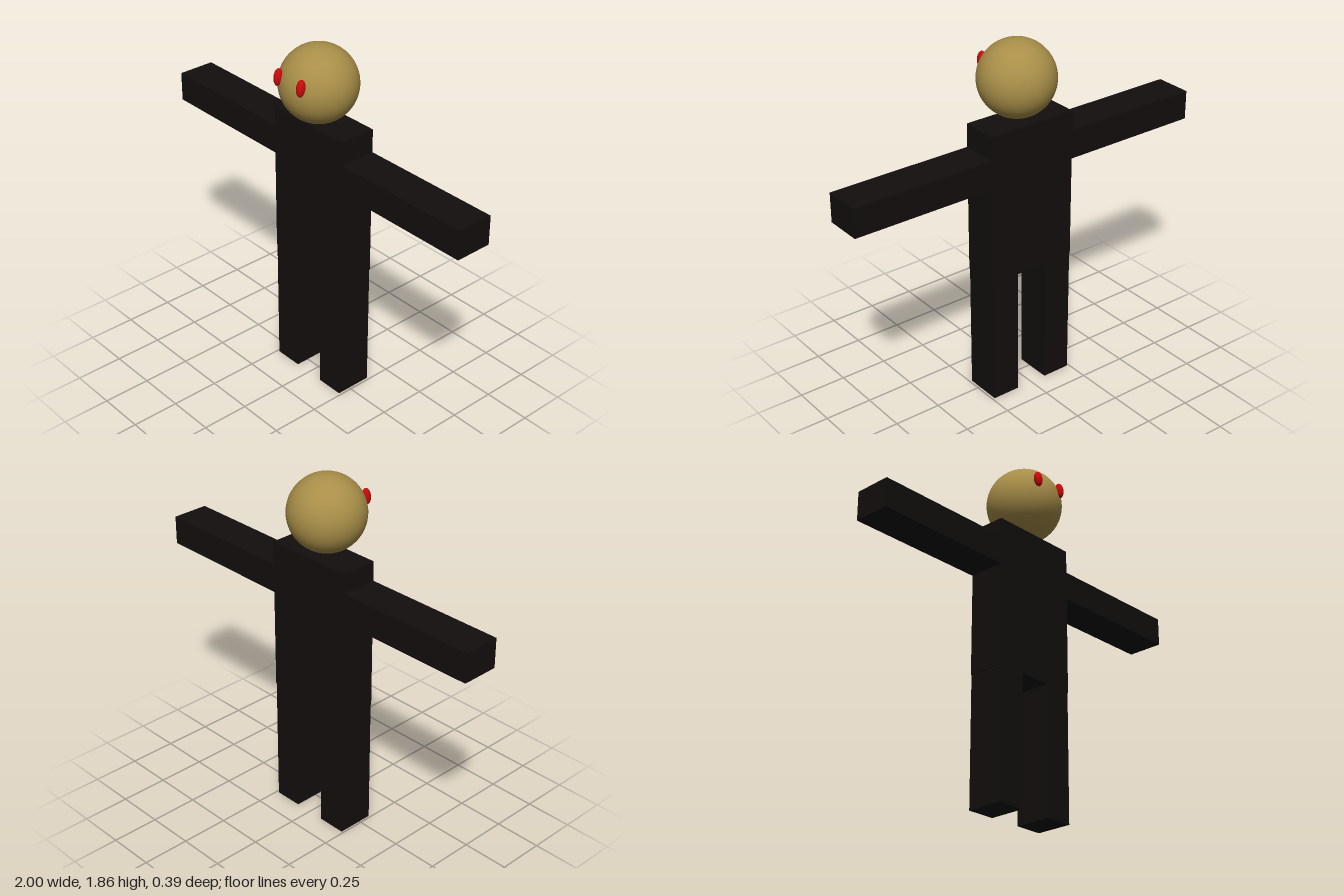
import * as THREE from 'three';

const material = (color) => new THREE.MeshStandardMaterial({ color });

export function createModel() {
  const group = new THREE.Group();
  const black = material(0x120e0d);
  const tan = material(0xa88e48);
  const red = material(0xc80a0a);

  // Box given by its x and y limits; all body parts share one depth
  const back = -0.126, front = 0.069;
  function addBox(name, x0, x1, y0, y1) {
    const mesh = new THREE.Mesh(new THREE.BoxGeometry(x1 - x0, y1 - y0, front - back), black);
    mesh.position.set((x0 + x1) / 2, (y0 + y1) / 2, (front + back) / 2);
    mesh.name = name;
    group.add(mesh);
  }

  function addBall(name, mat, radii, position, tilt = 0) {
    const mesh = new THREE.Mesh(new THREE.SphereGeometry(1, 48, 32), mat);
    mesh.scale.set(...radii);
    mesh.position.set(...position);
    mesh.rotation.x = tilt;
    mesh.name = name;
    group.add(mesh);
  }

  // Body, with the right arm set slightly higher than the left
  addBox('torso', -0.243, 0.241, 0.68, 1.47);
  addBox('rightArm', -1, -0.243, 1.215, 1.368);
  addBox('leftArm', 0.241, 1, 1.197, 1.348);
  addBox('rightLeg', -0.239, -0.087, 0, 0.68);
  addBox('leftLeg', 0.087, 0.237, 0, 0.68);

  // Head and oval eyes leaning back with its surface
  addBall('head', tan, [0.194, 0.194, 0.194], [-0.001, 1.664, -0.002]);
  addBall('rightEye', red, [0.021, 0.043, 0.022], [-0.086, 1.719, 0.174], -0.15);
  addBall('leftEye', red, [0.021, 0.043, 0.022], [0.074, 1.719, 0.174], -0.15);

  return group;
}
